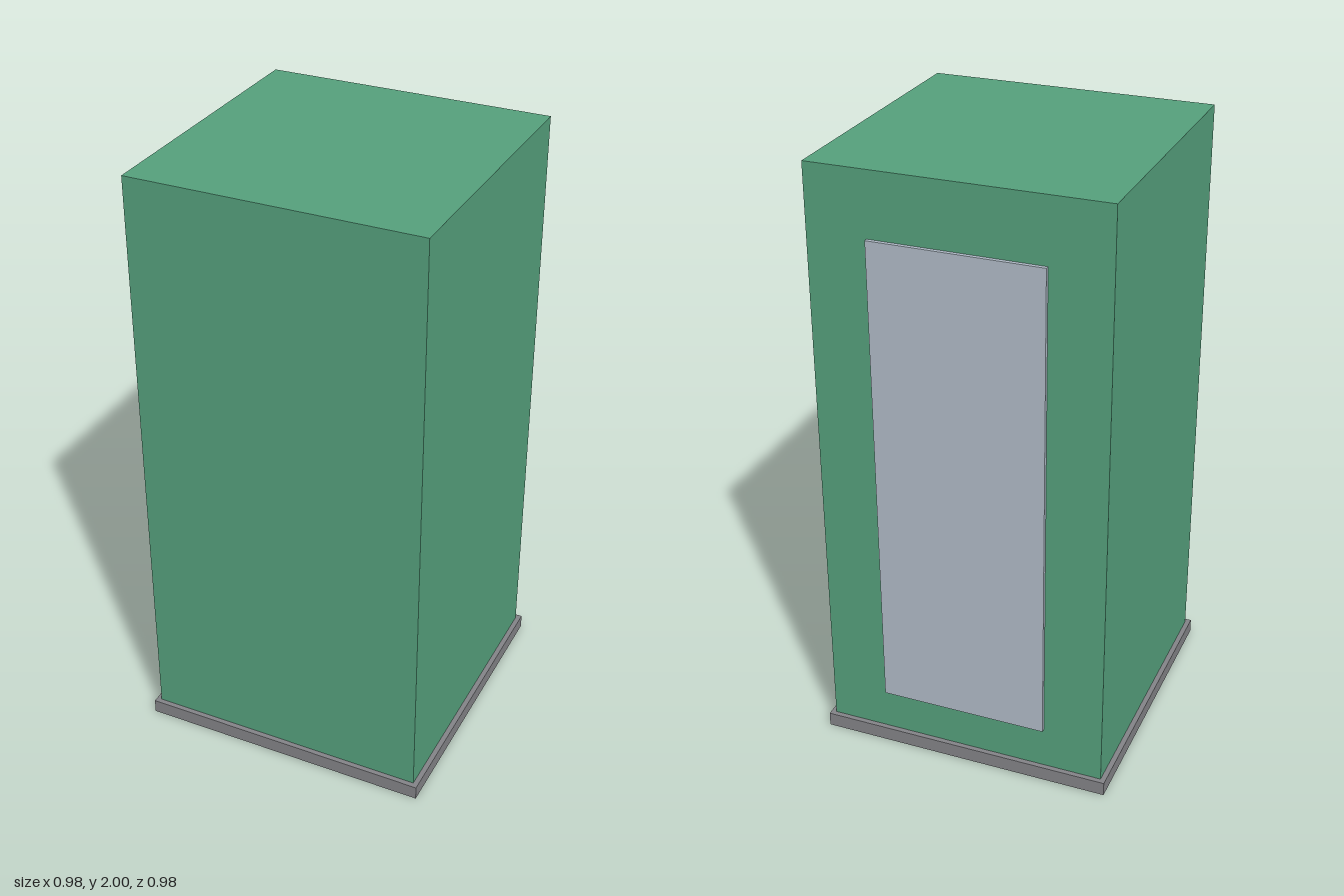
import * as THREE from 'three';

// Axis-aligned block spanning two corners
function block(name, color, min, max) {
  const size = max.map((v, i) => v - min[i]);
  const mesh = new THREE.Mesh(
    new THREE.BoxGeometry(...size),
    new THREE.MeshStandardMaterial({ color })
  );
  mesh.position.set(...max.map((v, i) => (v + min[i]) / 2));
  mesh.name = name;
  return mesh;
}

export function createModel() {
  const group = new THREE.Group();
  group.name = 'cabinet';
  group.add(
    // low plinth, slightly wider than the cabinet
    block('base', 0x838387, [-0.491, 0, -0.491], [0.491, 0.047, 0.491]),
    // tall cabinet, set into the plinth
    block('body', 0x55a07c, [-0.474, 0.01, -0.474], [0.474, 2, 0.474]),
    // thin door panel on the back
    block('doorPanel', 0xb0bbc7, [-0.278, 0.19, -0.487], [0.278, 1.79, -0.47])
  );
  return group;
}
